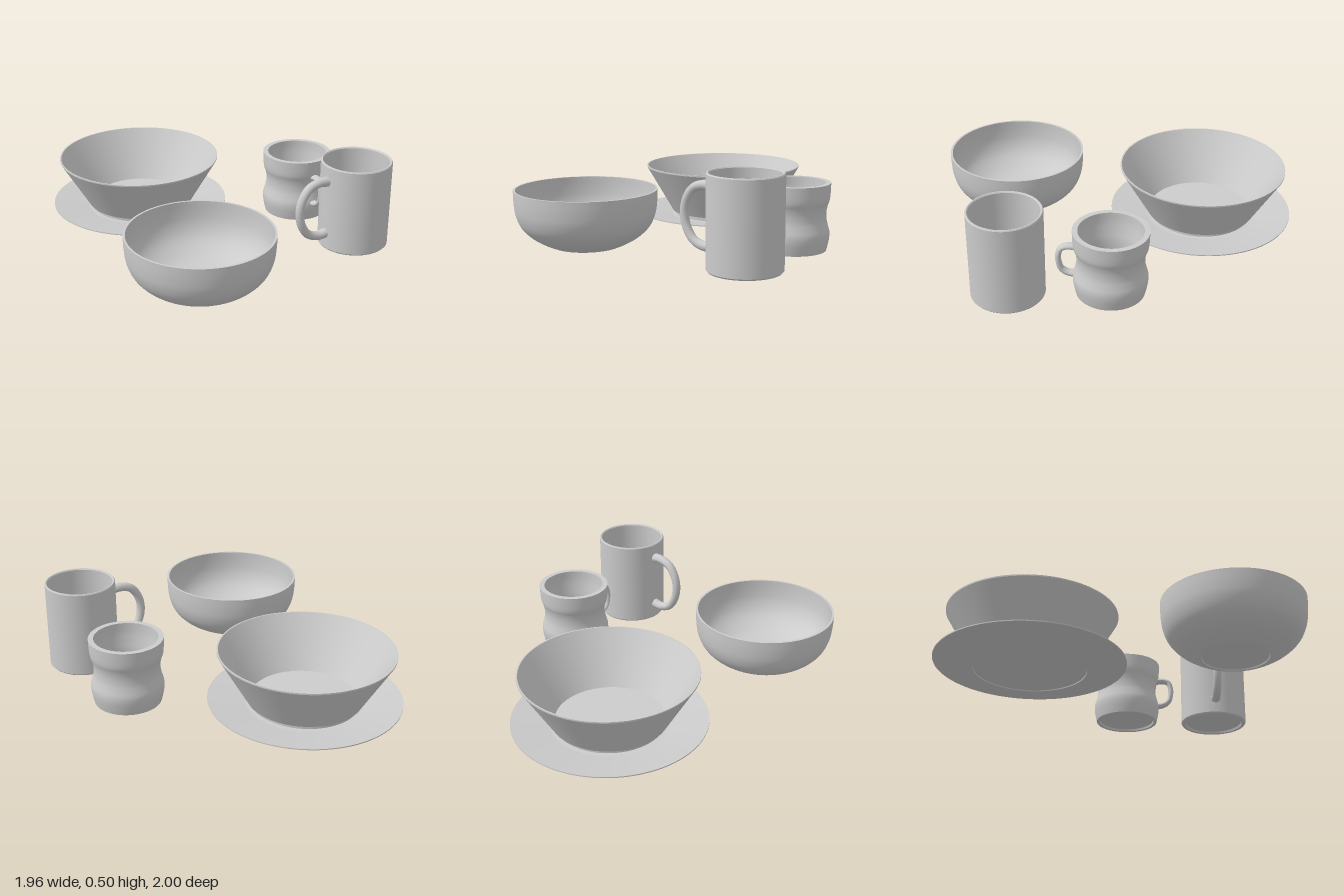
import * as THREE from 'three';
import { mergeGeometries } from 'three/addons/utils/BufferGeometryUtils.js';

const material = new THREE.MeshStandardMaterial({ color: 0xcccccc });

// Smooth curve through a few profile points
const curve = (pts, n = 20) =>
  new THREE.SplineCurve(pts.map(p => new THREE.Vector2(...p))).getPoints(n).map(p => [p.x, p.y]);

// Each section is turned on its own, so the edges between sections stay sharp.
// Sections run from the centre underneath, up the outside, and back down inside.
function turned(name, sections) {
  const parts = sections.map(s => new THREE.LatheGeometry(s.map(p => new THREE.Vector2(...p)), 96));
  const mesh = new THREE.Mesh(mergeGeometries(parts), material);
  mesh.name = name;
  return mesh;
}

// Consecutive points joined by straight, hard-edged sections
const straight = pts => pts.slice(1).map((p, i) => [pts[i], p]);

// Looped handle in the local xy plane: thick across the plane of the loop, flared at the wall
function handle(name, pts, thick, wide, flare, angle) {
  const path = new THREE.CatmullRomCurve3(pts.map(p => new THREE.Vector3(p[0], p[1], 0)));
  const rings = 56, sides = 16;
  const geo = new THREE.TubeGeometry(path, rings, 1, sides);
  const pos = geo.attributes.position;
  for (let i = 0; i <= rings; i++) {
    const t = i / rings, c = path.getPointAt(t);
    const grow = 1 + flare * Math.pow(Math.abs(2 * t - 1), 4);
    for (let j = 0; j <= sides; j++) {
      const k = i * (sides + 1) + j;
      pos.setXYZ(k,
        c.x + (pos.getX(k) - c.x) * thick * grow,
        c.y + (pos.getY(k) - c.y) * thick * grow,
        pos.getZ(k) * wide * grow);
    }
  }
  geo.computeVertexNormals();
  const mesh = new THREE.Mesh(geo, material);
  mesh.name = name;
  mesh.rotation.y = angle;
  return mesh;
}

function place(name, x, z, ...meshes) {
  const group = new THREE.Group();
  group.name = name;
  group.position.set(x, 0, z);
  group.add(...meshes);
  return group;
}

export function createModel() {
  const model = new THREE.Group();
  model.name = 'tableware';

  // Shallow plate with a low foot ring, carrying a conical bowl
  const plate = turned('plate', straight([
    [0, 0.006], [0.31, 0.006], [0.312, 0], [0.322, 0], [0.53, 0.038],
    [0.53, 0.044], [0.32, 0.016], [0, 0.016],
  ]));
  const cone = turned('conicalBowl', straight([
    [0, 0.018], [0.297, 0.018], [0.297, 0.04], [0.316, 0.042], [0.48, 0.322],
    [0.48, 0.33], [0.472, 0.33], [0.295, 0.043], [0, 0.043],
  ]));
  model.add(place('plateSetting', -0.455, -0.47, plate, cone));

  // Round bowl
  const roundBowl = turned('roundBowl', [
    ...straight([[0, 0.008], [0.18, 0.008], [0.184, 0], [0.195, 0]]),
    curve([[0.195, 0], [0.25, 0.025], [0.31, 0.063], [0.36, 0.115], [0.388, 0.18], [0.398, 0.25], [0.4, 0.32]], 36),
    [[0.4, 0.32], [0.388, 0.32]],
    curve([[0.388, 0.32], [0.385, 0.25], [0.374, 0.185], [0.345, 0.125], [0.295, 0.077], [0.23, 0.04],
      [0.15, 0.022], [0, 0.018]], 36),
  ]);
  model.add(place('bowl', -0.115, 0.6, roundBowl));

  // Tall straight mug
  const mugBody = turned('mugBody', straight([
    [0, 0.012], [0.17, 0.012], [0.175, 0], [0.193, 0], [0.2, 0.008], [0.2, 0.499],
    [0.196, 0.505], [0.19, 0.505], [0.185, 0.499], [0.18, 0.03], [0, 0.03],
  ]));
  const mugHandle = handle('mugHandle', [
    [0.194, 0.413], [0.25, 0.416], [0.315, 0.395], [0.36, 0.335], [0.376, 0.26],
    [0.36, 0.18], [0.315, 0.117], [0.25, 0.092], [0.194, 0.097],
  ], 0.024, 0.025, 0.2, Math.atan2(-0.18, -0.35));
  model.add(place('mug', 0.78, 0.1, mugBody, mugHandle));

  // Short waisted cup
  const cupBody = turned('cupBody', [
    ...straight([[0, 0.012], [0.163, 0.012], [0.167, 0], [0.185, 0]]),
    curve([[0.185, 0], [0.192, 0.03], [0.199, 0.07], [0.199, 0.105], [0.19, 0.14], [0.182, 0.175],
      [0.181, 0.215], [0.187, 0.25], [0.197, 0.28], [0.201, 0.315], [0.203, 0.375]], 48),
    [[0.203, 0.375], [0.174, 0.375]],
    curve([[0.174, 0.375], [0.172, 0.32], [0.165, 0.27], [0.157, 0.22], [0.155, 0.17],
      [0.158, 0.11], [0.155, 0.03]], 28),
    [[0.155, 0.03], [0, 0.03]],
  ]);
  const cupHandle = handle('cupHandle', [
    [0.18, 0.27], [0.225, 0.274], [0.26, 0.262], [0.275, 0.225], [0.274, 0.175],
    [0.26, 0.135], [0.228, 0.112], [0.18, 0.103],
  ], 0.016, 0.024, 0.15, Math.atan2(-0.26, 0.13));
  model.add(place('cup', 0.505, -0.37, cupBody, cupHandle));

  return model;
}
